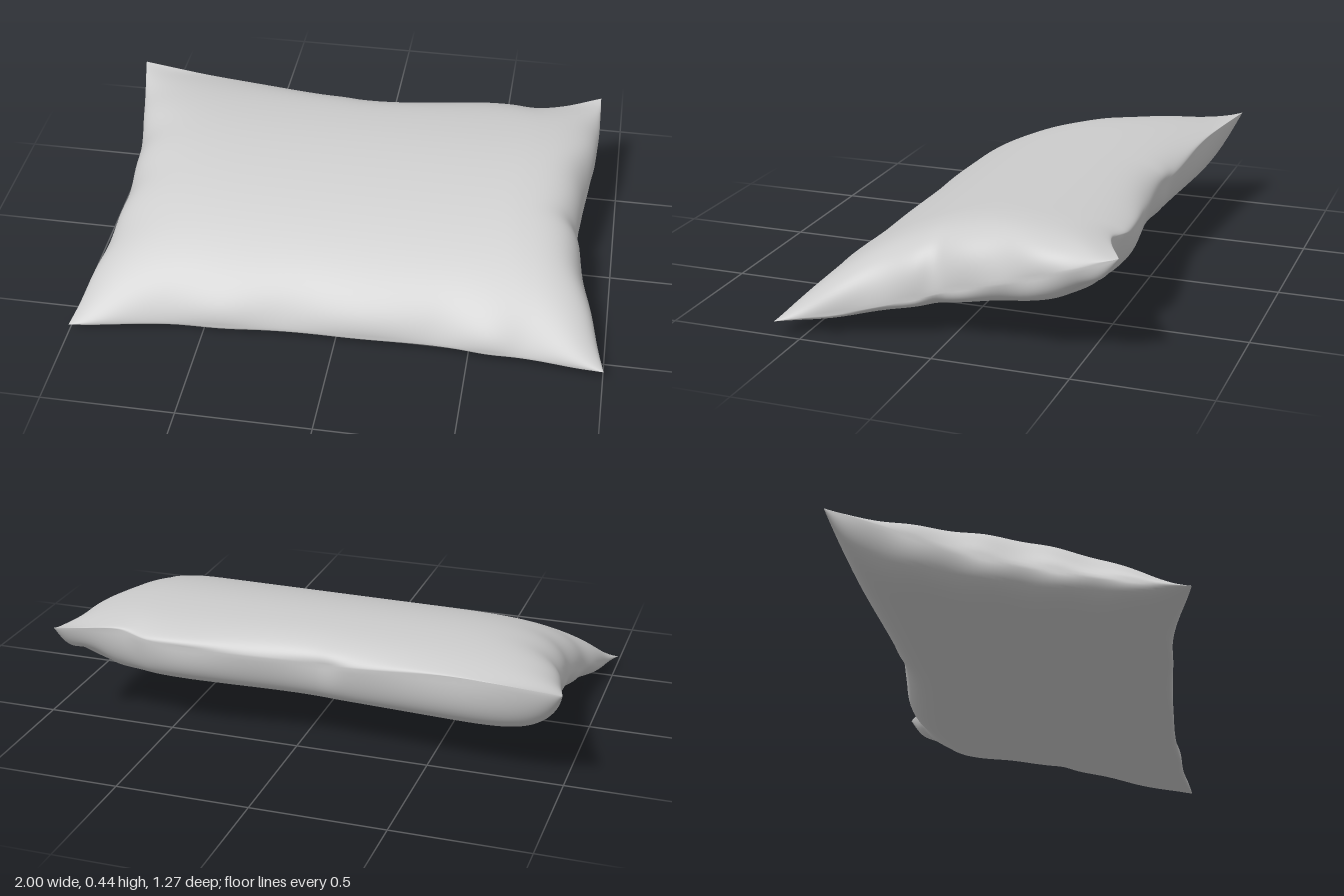
import * as THREE from 'three';
import { mergeGeometries, mergeVertices } from 'three/addons/utils/BufferGeometryUtils.js';

const curve = (pts) => new THREE.CatmullRomCurve3(pts.map((p) => new THREE.Vector3(...p)));

// Seam outline: left/right sides run back to front, back/front edges run -x to +x
const sideA = curve([[-1, 0.412, -0.62], [-0.955, 0.345, -0.4], [-0.92, 0.275, -0.2], [-0.91, 0.215, 0],
  [-0.92, 0.16, 0.2], [-0.955, 0.1, 0.4], [-1, 0.04, 0.635]]);
const sideB = curve([[0.9, 0.422, -0.635], [0.905, 0.35, -0.44], [0.885, 0.275, -0.22], [0.86, 0.205, 0],
  [0.875, 0.165, 0.12], [0.93, 0.11, 0.34], [1, 0.065, 0.6]]);
const backEdge = curve([[-1, 0.412, -0.62], [-0.62, 0.4, -0.56], [-0.22, 0.37, -0.535], [-0.08, 0.36, -0.515],
  [0.28, 0.37, -0.55], [0.55, 0.39, -0.57], [0.68, 0.405, -0.545], [0.9, 0.422, -0.635]]);
const frontEdge = curve([[-1, 0.04, 0.635], [-0.64, 0.035, 0.565], [-0.36, 0.045, 0.555], [-0.04, 0.05, 0.545],
  [0.34, 0.055, 0.545], [0.56, 0.06, 0.56], [0.74, 0.06, 0.57], [1, 0.065, 0.6]]);

// Smooth patch filling the four seam curves
function seamPatch(s, t) {
  const p = new THREE.Vector3();
  const add = (q, k) => p.addScaledVector(q, k);
  add(sideA.getPoint(t), 1 - s);
  add(sideB.getPoint(t), s);
  add(backEdge.getPoint(s), 1 - t);
  add(frontEdge.getPoint(s), t);
  add(sideA.getPoint(0), -(1 - s) * (1 - t));
  add(sideA.getPoint(1), -(1 - s) * t);
  add(sideB.getPoint(0), -s * (1 - t));
  add(sideB.getPoint(1), -s * t);
  return p;
}

// One cloth sheet, puffed from the seam patch towards its target height
function sheet(isTop) {
  const g = new THREE.PlaneGeometry(2, 2, 90, 70).rotateX(isTop ? -Math.PI / 2 : Math.PI / 2);
  const pos = g.attributes.position;
  for (let i = 0; i < pos.count; i++) {
    // Rows crowd towards the seam, where the cloth curves most
    const u = Math.sin(pos.getX(i) * Math.PI / 2);
    const v = Math.sin(pos.getZ(i) * Math.PI / 2);
    const p = seamPatch((u + 1) / 2, (v + 1) / 2);
    // Domed top, almost level towards the back; flat sloping underside
    const target = isTop
      ? 0.456 - (p.z > -0.27 ? 0.45 : 0.3) * (p.z + 0.27) ** 2 + 0.01 * (p.x - 0.6)
      : Math.max(0, 0.096 + 0.025 * (p.x + 0.6) - 0.175 * p.z);
    const puff = Math.max(0, 1 - u ** (isTop ? 10 : 14)) ** 0.5 * Math.max(0, 1 - v ** 12) ** 0.5
      * (1 - (isTop && v < 0 ? 0 : 0.4) * (u * v) ** 8);
    p.y += (target - p.y) * puff;
    // Gathered wrinkles near the seams
    p.x += 0.015 * Math.sin(15 * v + 3 * u) * u ** 9 * puff;
    p.z += 0.014 * Math.sin(13 * u + 2 * v) * v ** 11 * puff;
    // Tuck under the crumpled back corner
    if (!isTop) p.y += 0.06 * Math.exp(-((p.x - 0.82) ** 2 + (p.z + 0.52) ** 2) / 0.006) * puff;
    pos.setXYZ(i, p.x, p.y, p.z);
  }
  // Only positions are kept, so the sheets can be welded along the seam
  g.deleteAttribute('uv');
  g.deleteAttribute('normal');
  return g;
}

export function createModel() {
  const cloth = new THREE.MeshStandardMaterial({ color: 0xcccccc, side: THREE.DoubleSide });
  cloth.name = 'grey cloth';

  // Both sheets welded into one cover that shades smoothly across the seam
  const cover = mergeVertices(mergeGeometries([sheet(true), sheet(false)]));
  cover.computeVertexNormals();

  const pillow = new THREE.Mesh(cover, cloth);
  pillow.name = 'pillowCover';
  const group = new THREE.Group();
  group.name = 'pillow';
  group.add(pillow);
  return group;
}
